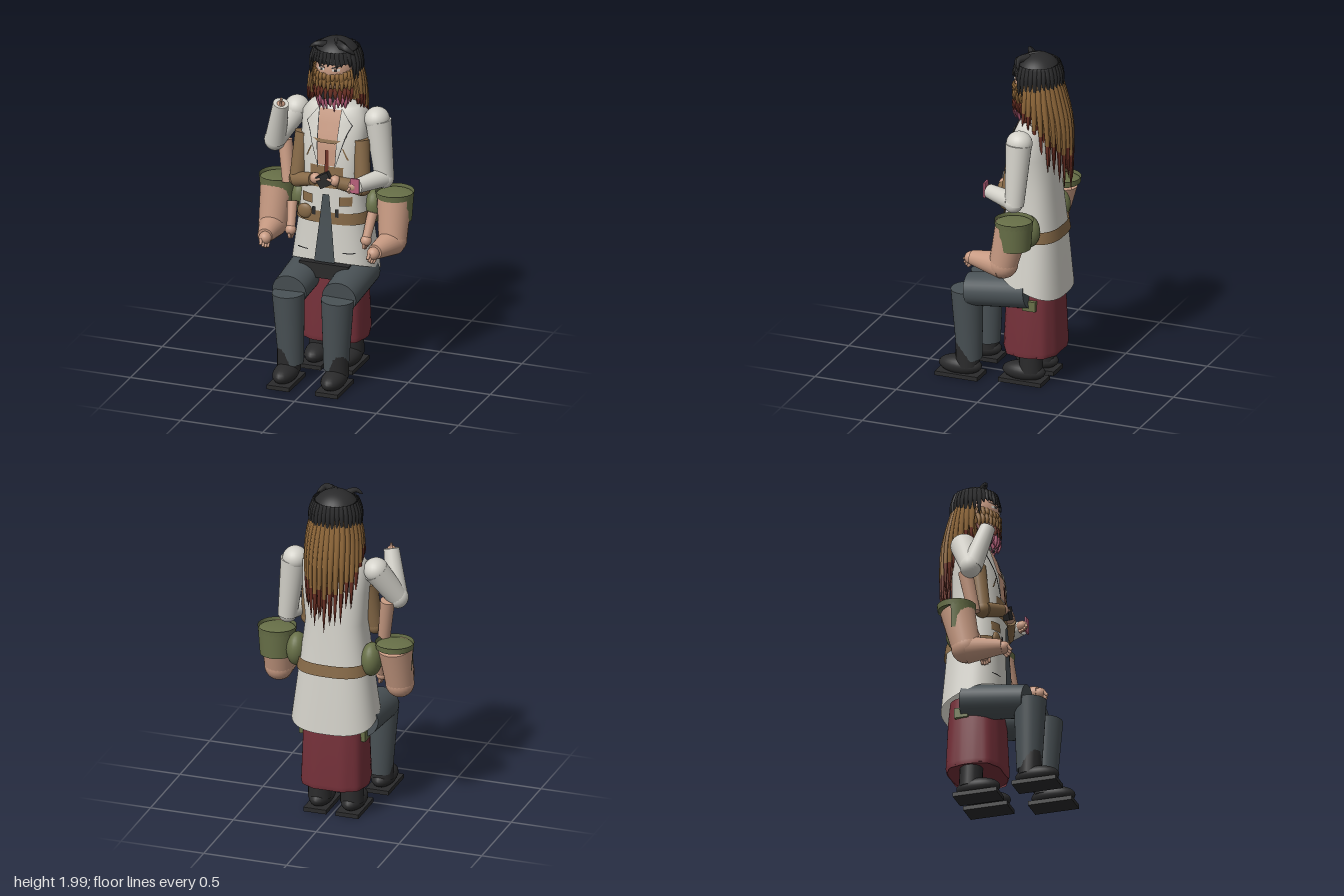
import * as THREE from 'three';

const mat = (name, color) => new THREE.MeshStandardMaterial({ name, color, side: THREE.DoubleSide });
const M = {
  white: mat('offWhiteCloth', 0xd3d1c9), skin: mat('skin', 0xc79a82), hair: mat('brownHair', 0x8f6739),
  black: mat('black', 0x2a2a2b), slate: mat('slateCloth', 0x495155), red: mat('darkRedCloth', 0x743039),
  green: mat('oliveCloth', 0x687048), pink: mat('pink', 0xb9607c), leather: mat('leatherBrown', 0x876a48),
  rust: mat('rustTips', 0x6b3024),
};
const V = (x, y, z) => new THREE.Vector3(x, y, z);

export function createModel() {
  const root = new THREE.Group();
  root.name = 'seatedFigure';
  const add = (name, geo, m) => {
    const mesh = new THREE.Mesh(geo, m);
    mesh.name = name;
    root.add(mesh);
    return mesh;
  };
  const ball = (name, p, r, m) => {
    const b = add(name, new THREE.SphereGeometry(1, 24, 16), m);
    b.position.set(...p);
    b.scale.set(...r);
    return b;
  };
  const box = (name, p, s, m) => {
    const b = add(name, new THREE.BoxGeometry(...s), m);
    b.position.set(...p);
    return b;
  };
  // tapered cylinder between two points
  const limb = (name, a, b, ra, rb, m, sides = 20) => {
    const A = V(...a), d = V(...b).sub(A);
    const l = add(name, new THREE.CylinderGeometry(rb, ra, d.length(), sides), m);
    l.position.copy(A).addScaledVector(d, 0.5);
    l.quaternion.setFromUnitVectors(V(0, 1, 0), d.normalize());
    return l;
  };
  // tapered lock along a curve, with an optional tip colour
  const strand = (name, pts, r, m, tip, split = 1) => {
    const n = 10, k = 6, curve = new THREE.CatmullRomCurve3(pts.map((p) => V(...p)));
    const g = new THREE.TubeGeometry(curve, n, r, k, false), pos = g.attributes.position, v = V(0, 0, 0);
    for (let i = 0; i <= n; i++) {
      const c = curve.getPointAt(i / n), s = 0.03 + 0.97 * Math.pow(1 - i / n, 0.6);
      for (let j = 0; j <= k; j++) {
        v.fromBufferAttribute(pos, i * (k + 1) + j).sub(c).multiplyScalar(s).add(c);
        pos.setXYZ(i * (k + 1) + j, v.x, v.y, v.z);
      }
    }
    g.computeVertexNormals();
    const cut = Math.round(n * split) * k * 6;
    g.addGroup(0, cut, 0);
    g.addGroup(cut, n * k * 6 - cut, 1);
    add(name, g, [m, tip || m]);
  };
  // boxy oval rings, rows of [y, half width, front z, back z, drop at back]
  const loft = (name, rows, m, power = 2.7, wave = 0) => {
    const n = 64, pos = [], idx = [];
    rows.forEach(([y, rx, zf, zb, drop = 0], i) => {
      for (let j = 0; j <= n; j++) {
        const a = (j / n) * Math.PI * 2, c = Math.cos(a), s = Math.sin(a);
        const w = 1 + wave * Math.cos(a * 10) * i / rows.length;
        const u = Math.sign(c) * Math.abs(c) ** (2 / power) * w, t = Math.sign(s) * Math.abs(s) ** (2 / power) * w;
        pos.push(rx * u, y - drop * (1 - t) / 2, (zf + zb) / 2 + t * (zf - zb) / 2);
        if (i && j) {
          const q = i * (n + 1) + j, p = q - n - 1;
          idx.push(p - 1, p, q, p - 1, q, q - 1);
        }
      }
    });
    const g = new THREE.BufferGeometry();
    g.setAttribute('position', new THREE.Float32BufferAttribute(pos, 3));
    g.setIndex(idx);
    g.computeVertexNormals();
    return add(name, g, m);
  };

  // long coat
  const coat = [[1.62, 0.07, -0.1, -0.2], [1.6, 0.15, -0.08, -0.24], [1.55, 0.195, -0.06, -0.265],
    [1.4, 0.195, -0.015, -0.285], [1.2, 0.175, 0, -0.29], [0.95, 0.205, 0.005, -0.315], [0.69, 0.25, 0.02, -0.345, 0.14]];
  loft('coat', coat, M.white);
  loft('belt', [[0.99, 0.21, 0.012, -0.322, 0.02], [0.92, 0.22, 0.014, -0.331, 0.02]], M.leather);
  const coatZ = (x, y) => {
    let i = 1;
    while (i < coat.length - 1 && y < coat[i][0]) i++;
    const a = coat[i - 1], b = coat[i], t = THREE.MathUtils.clamp((a[0] - y) / (a[0] - b[0]), 0, 1);
    const [rx, zf, zb] = [1, 2, 3].map((k) => a[k] + (b[k] - a[k]) * t);
    return (zf + zb) / 2 + (zf - zb) / 2 * Math.max(0, 1 - Math.abs(x / rx) ** 2.7) ** (1 / 2.7);
  };
  const faceZ = (x, y) => -0.155 + 0.125 * Math.sqrt(Math.max(0, 1 - (x / 0.115) ** 2 - ((y - 1.83) / 0.14) ** 2));
  // four-cornered patch laid on a surface
  const patch = (name, c, m, lift = 0.006, surf = coatZ) => {
    const g = new THREE.PlaneGeometry(1, 1, 8, 8), p = g.attributes.position;
    for (let i = 0; i < p.count; i++) {
      const u = p.getX(i) + 0.5, t = 0.5 - p.getY(i);
      const at = (k) => (c[0][k] * (1 - u) + c[1][k] * u) * (1 - t) + (c[3][k] * (1 - u) + c[2][k] * u) * t;
      p.setXYZ(i, at(0), at(1), surf(at(0), at(1)) + lift);
    }
    g.computeVertexNormals();
    add(name, g, m);
  };
  const rect = (x, y, w, h) => [[x - w / 2, y + h / 2], [x + w / 2, y + h / 2], [x + w / 2, y - h / 2], [x - w / 2, y - h / 2]];

  // coat front
  patch('bareChest', [[-0.065, 1.59], [0.065, 1.59], [0.055, 1.27], [-0.055, 1.27]], M.skin, 0.005);
  patch('bellyWrap', rect(0, 1.2, 0.2, 0.13), M.leather, 0.005);
  patch('trouserGap', [[-0.015, 1.1], [0.025, 1.1], [0.065, 0.69], [-0.06, 0.69]], M.slate, 0.016);
  patch('chestStrap', [[-0.085, 1.425], [0.085, 1.425], [0.05, 1.405], [-0.05, 1.405]], M.leather, 0.013);
  patch('rustTie', rect(0.005, 1.29, 0.022, 0.15), M.rust, 0.013);
  for (const s of [-1, 1]) {
    patch('lapelEdge', [[s * 0.066, 1.6], [s * 0.14, 1.51], [s * 0.115, 1.46], [s * 0.05, 1.25]], M.black, 0.007);
    patch('lapel', [[s * 0.07, 1.6], [s * 0.135, 1.51], [s * 0.11, 1.465], [s * 0.055, 1.27]], M.white, 0.01);
    patch('coatTear', [[s * 0.09, 1.38], [s * 0.1, 1.375], [s * 0.13, 1.31], [s * 0.12, 1.31]], M.leather, 0.007);
    patch('pocketFlap', rect(s * 0.115, 1.06, 0.07, 0.055), M.leather, 0.009);
    patch('lowerPocketSeam', rect(s * 0.14, 0.75, 0.07, 0.006), M.black, 0.006);
    patch('buckleStrap', rect(s * 0.07, 0.99, 0.02, 0.05), M.black, 0.014);
  }
  ball('beltPouch', [-0.13, 0.975, 0], [0.045, 0.045, 0.02], M.leather);

  // skirt below the coat
  loft('skirt', [[0.62, 0.17, -0.01, -0.3], [0.5, 0.185, 0, -0.31], [0.22, 0.195, 0.012, -0.322], [0.19, 0.19, 0.005, -0.315]], M.red, 2.8, 0.025);
  const under = loft('skirtUnderside', [[0.2, 0.001, -0.155, -0.156], [0.2, 0.19, 0.005, -0.315]], M.red, 2.8);
  under.renderOrder = 0;

  // pelvis, legs and shoes
  box('pelvis', [0, 0.635, -0.07], [0.3, 0.09, 0.22], M.black);
  for (const s of [-1, 1]) {
    limb('thigh', [s * 0.15, 0.595, -0.18], [s * 0.152, 0.55, 0.19], 0.102, 0.095, M.slate, 32).scale.x = 1.08;
    limb('shin', [s * 0.15, 0.55, 0.208], [s * 0.137, 0.12, 0.198], 0.094, 0.072, M.slate, 32);
    for (const [x, z] of [[0.147, 0.25], [0.097, -0.12]]) {
      ball('shoe', [s * x, 0.075, z], [0.068, 0.056, 0.13], M.black);
      box('sole', [s * x, 0.023, z], [0.137, 0.025, 0.262], M.black);
      limb('ankle', [s * x, 0.08, z - 0.045], [s * x, 0.22, z - 0.04], 0.068, 0.066, M.black);
    }
    box('oliveHem', [s * 0.15, 0.515, -0.19], [0.1, 0.06, 0.08], M.green);
  }

  // palm with curled fingers pointing along d
  const hand = (name, p, d, size = 1) => {
    const dir = V(...d).normalize(), side = V(-dir.y, dir.x, dir.z * 0.9 + 0.05).cross(dir).normalize();
    ball(name, p, [0.032 * size, 0.032 * size, 0.032 * size], M.skin);
    for (let i = 0; i < 4; i++) {
      const a = V(...p).addScaledVector(side, (i - 1.5) * 0.015 * size).addScaledVector(dir, 0.015 * size);
      const b = a.clone().addScaledVector(dir, (0.038 - 0.006 * Math.abs(i - 1.5)) * size);
      limb(name + 'Finger', a.toArray(), b.toArray(), 0.01 * size, 0.007 * size, M.skin, 8);
    }
  };

  // large bare arms in short olive sleeves, plus folded and hanging arms
  for (const s of [-1, 1]) {
    const sleeve = add('oliveSleeve', new THREE.CylinderGeometry(0.11, 0.098, 0.17, 24, 2, true, s * Math.PI / 2 - Math.PI * 0.16 + (s < 0 ? -Math.PI * 0.68 : 0), Math.PI * 1.0), M.green);
    sleeve.position.set(s * 0.355, 1.02, -0.165);
    if (s < 0) sleeve.rotation.y = Math.PI * 0.68 + Math.PI * 0.32 - Math.PI * 0.0 - Math.PI * 0.0 - Math.PI * 0.16 + Math.PI * 0.0;
    const rim = add('sleeveRim', new THREE.CylinderGeometry(0.112, 0.108, 0.035, 24, 1, true), M.green);
    rim.position.set(s * 0.355, 1.09, -0.165);
    ball('sleeveTop', [s * 0.355, 1.085, -0.165], [0.107, 0.018, 0.107], M.green);
    ball('oliveShoulder', [s * 0.225, 0.99, -0.19], [0.06, 0.1, 0.08], M.green);
    limb('bareUpperArm', [s * 0.355, 1.07, -0.158], [s * 0.365, 0.83, -0.105], 0.1, 0.082, M.skin, 24);
    ball('bareElbow', [s * 0.365, 0.83, -0.105], [0.083, 0.085, 0.085], M.skin);
    limb('bareForearm', [s * 0.365, 0.82, -0.1], [s * 0.335, 0.825, 0.1], 0.08, 0.043, M.skin, 24);
    hand('bareHand', [s * 0.33, 0.82, 0.11], [s * -0.1, -0.6, 0.5], 1.15);
    limb('foldedUpperArm', [s * 0.175, 1.42, -0.1], [s * 0.2, 1.14, -0.06], 0.05, 0.045, M.leather);
    ball('foldedElbow', [s * 0.2, 1.14, -0.06], [0.047, 0.047, 0.047], M.leather);
    limb('foldedForearm', [s * 0.2, 1.14, -0.05], [s * 0.075, 1.18, 0.012], 0.045, 0.036, M.leather);
    hand('foldedHand', [s * 0.06, 1.19, 0.015], [-s, 0.3, 0.1]);
    limb('hangingArm', [s * 0.245, 0.98, -0.1], [s * 0.23, 0.84, -0.04], 0.03, 0.025, M.skin);
    hand('hangingHand', [s * 0.23, 0.83, -0.035], [-s * 0.1, -1, 0.1]);
  }
  const grip = box('darkGrip', [0, 1.19, 0.025], [0.085, 0.075, 0.035], M.black);
  grip.rotation.z = 0.5;

  // left coat arm holding a pink slab
  ball('leftShoulder', [0.25, 1.535, -0.155], [0.072, 0.07, 0.076], M.white);
  limb('leftUpperSleeve', [0.258, 1.53, -0.155], [0.3, 1.17, -0.145], 0.075, 0.055, M.white, 24);
  ball('leftElbow', [0.3, 1.18, -0.14], [0.055, 0.055, 0.055], M.white);
  limb('leftForeSleeve', [0.295, 1.19, -0.13], [0.205, 1.19, 0.045], 0.055, 0.042, M.white, 24);
  hand('leftHand', [0.185, 1.19, 0.05], [-0.3, -0.5, 0.25]);
  box('pinkSlab', [0.203, 1.2, 0.071], [0.054, 0.09, 0.01], M.pink);

  // raised right coat arm
  ball('rightShoulder', [-0.24, 1.535, -0.16], [0.072, 0.07, 0.076], M.white);
  limb('rightUpperSleeve', [-0.24, 1.53, -0.16], [-0.345, 1.35, -0.085], 0.075, 0.06, M.white, 24);
  ball('rightElbow', [-0.345, 1.35, -0.085], [0.062, 0.066, 0.062], M.white);
  limb('rightForeSleeve', [-0.34, 1.35, -0.08], [-0.278, 1.61, -0.005], 0.062, 0.045, M.white, 24);
  hand('rightHand', [-0.278, 1.6, -0.003], [0.1, 0.6, 0.2], 0.8);
  limb('rightBareArm', [-0.3, 1.34, -0.13], [-0.265, 1.1, -0.09], 0.042, 0.036, M.skin);

  // head and face
  limb('neck', [0, 1.55, -0.15], [0, 1.76, -0.15], 0.065, 0.06, M.skin);
  ball('head', [0, 1.83, -0.155], [0.115, 0.14, 0.125], M.skin);
  for (const s of [-1, 1]) {
    patch('eyeWhite', rect(s * 0.045, 1.845, 0.042, 0.014), M.white, 0.003, faceZ);
    patch('pupil', rect(s * 0.043, 1.845, 0.016, 0.014), M.black, 0.005, faceZ);
    patch('eyebrow', [[s * 0.02, 1.86], [s * 0.078, 1.876], [s * 0.078, 1.868], [s * 0.02, 1.852]], M.black, 0.004, faceZ);
  }

  // shaggy beard in brown, rust, black and pink rows
  const rows = [[1.84, 0.11, 13, M.hair], [1.79, 0.115, 13, M.hair], [1.73, 0.11, 12, M.rust], [1.71, 0.09, 9, M.black], [1.69, 0.092, 12, M.pink]];
  rows.forEach(([y, w, n, m], r) => {
    for (let i = 0; i < n; i++) {
      const a = ((i / (n - 1)) * 2 - 1) * 1.35, x = w * Math.sin(a), z = -0.14 + 0.1 * Math.cos(a);
      const drop = 0.09 + 0.015 * Math.sin(i * 2.3 + r);
      strand('beardLock', [[x * 0.97, y - (r ? 0 : 0.03 * Math.cos(a)), z], [x * 1.05, y - drop * 0.5, z + 0.012], [x * 0.95, y - drop, z]], 0.016, m);
    }
  });

  // long brown hair with rust tips
  ball('hairBack', [0, 1.79, -0.19], [0.125, 0.15, 0.12], M.hair);
  for (let layer = 0; layer < 2; layer++) {
    const n = 19 - layer * 2;
    for (let i = 0; i < n; i++) {
      const a = ((i / (n - 1)) * 2 - 1) * 1.75, back = Math.max(0, Math.cos(a)), sx = Math.sin(a);
      const end = 1.6 - 0.32 * back ** 0.6 - 0.09 * Math.abs(Math.sin(i * 1.9 + layer)) * back + layer * 0.05;
      const k = 1 - layer * 0.13, z = (d) => -0.17 - d * Math.cos(a) * k;
      strand('hairLock', [[sx * 0.115 * k, 1.88, z(0.1)], [sx * 0.15 * k, 1.75, z(0.145)],
        [sx * 0.165 * k, 1.6, z(0.185)], [sx * 0.16 * k, end, z(0.2)]], 0.025, M.hair, M.rust, 0.65);
    }
  }

  // short black hair with a spiky edge
  const cap = add('blackHairCap', new THREE.SphereGeometry(1, 32, 14, 0, Math.PI * 2, 0, 1.5), M.black);
  cap.position.set(0, 1.868, -0.165);
  cap.scale.set(0.142, 0.13, 0.138);
  for (let i = 0; i < 34; i++) {
    const a = (i / 34) * Math.PI * 2, front = Math.cos(a) > 0.55;
    const x = Math.sin(a), z = Math.cos(a), tip = front ? 1.865 + 0.012 * Math.sin(i * 2.1) : 1.785 + 0.018 * Math.sin(i * 1.7);
    strand('blackHairLock', [[x * 0.115, 1.94, -0.165 + z * 0.11], [x * 0.141, 1.88, -0.165 + z * 0.135],
      [x * (front ? 0.145 : 0.15), tip, -0.165 + z * 0.142]], 0.021, M.black);
  }
  strand('looseTuft', [[-0.04, 1.96, -0.12], [-0.09, 1.975, -0.08], [-0.13, 1.95, -0.07]], 0.025, M.black);
  strand('looseTuft', [[0.03, 1.97, -0.12], [0.09, 1.97, -0.08], [0.14, 1.93, -0.1]], 0.03, M.black);
  strand('crownTuft', [[0, 1.96, -0.2], [0, 1.985, -0.16], [0.03, 1.985, -0.09]], 0.022, M.black);
  return root;
}
